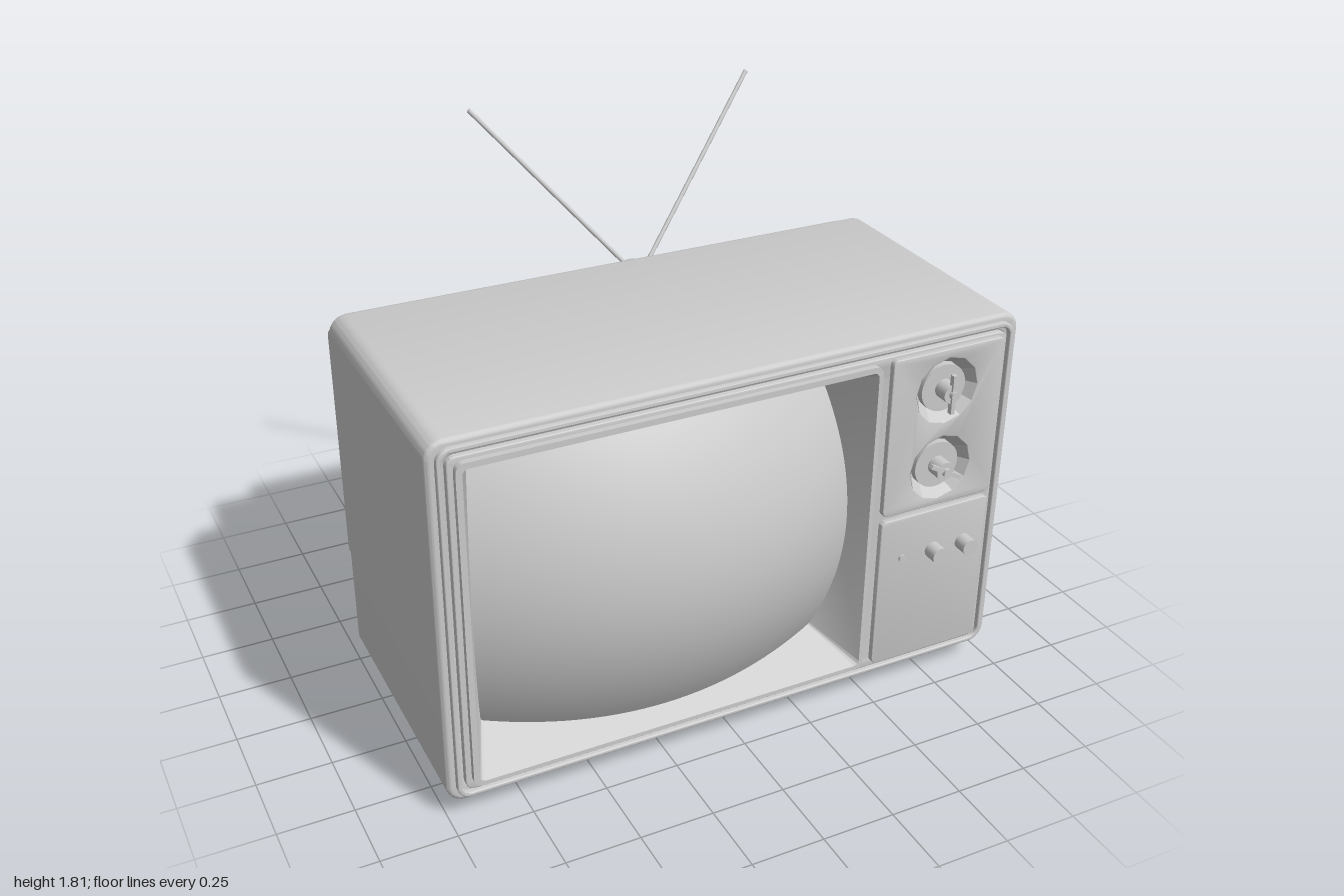
import * as THREE from 'three';
import { toCreasedNormals } from 'three/addons/utils/BufferGeometryUtils.js';

const material = new THREE.MeshStandardMaterial({ color: 0xcccccc });
const openMaterial = new THREE.MeshStandardMaterial({ color: 0xcccccc, side: THREE.DoubleSide });

// Rounded rectangle from its edges
function roundRect(x0, x1, y0, y1, r, Type = THREE.Shape) {
  const s = new Type();
  s.moveTo(x0 + r, y0);
  s.lineTo(x1 - r, y0);
  s.absarc(x1 - r, y0 + r, r, -Math.PI / 2, 0);
  s.lineTo(x1, y1 - r);
  s.absarc(x1 - r, y1 - r, r, 0, Math.PI / 2);
  s.lineTo(x0 + r, y1);
  s.absarc(x0 + r, y1 - r, r, Math.PI / 2, Math.PI);
  s.lineTo(x0, y0 + r);
  s.absarc(x0 + r, y0 + r, r, Math.PI, Math.PI * 1.5);
  return s;
}
const rectHole = (...a) => roundRect(...a, THREE.Path);

// Regular polygon hole matching a lathe with the same number of sides
function polygonHole(cx, cy, r, sides) {
  const pts = [];
  for (let i = 0; i < sides; i++) {
    const a = (i / sides) * Math.PI * 2;
    pts.push(new THREE.Vector2(cx + r * Math.sin(a), cy + r * Math.cos(a)));
  }
  return new THREE.Path(pts);
}

// Extrude from z0 to z1, with a bevel kept inside the outline
function slab(shape, z0, z1, bevel = 0, holes = []) {
  shape.holes.push(...holes);
  const g = new THREE.ExtrudeGeometry(shape, {
    depth: z1 - z0 - 2 * bevel, curveSegments: 6, bevelEnabled: bevel > 0,
    bevelSize: bevel, bevelThickness: bevel, bevelOffset: -bevel, bevelSegments: 3,
  });
  g.translate(0, 0, z0 + bevel);
  return toCreasedNormals(g, 0.6);
}

// Lower the top of a geometry towards the back
function slopeTop(g, bottom, top, zFront, zBack, drop) {
  const p = g.attributes.position;
  for (let i = 0; i < p.count; i++) {
    const t = (zFront - p.getZ(i)) / (zFront - zBack);
    const h = (p.getY(i) - bottom) / (top - bottom);
    p.setY(i, p.getY(i) - drop * t * h);
  }
  return toCreasedNormals(g, 0.6);
}

// Wall between two outlines at different depths
function loft(shapeA, zA, shapeB, zB) {
  const a = shapeA.getPoints(6), b = shapeB.getPoints(6), pos = [];
  for (let i = 0; i < a.length; i++) {
    const j = (i + 1) % a.length;
    const A = [a[i].x, a[i].y, zA], B = [a[j].x, a[j].y, zA];
    const C = [b[j].x, b[j].y, zB], D = [b[i].x, b[i].y, zB];
    pos.push(...A, ...C, ...B, ...A, ...D, ...C);
  }
  const g = new THREE.BufferGeometry();
  g.setAttribute('position', new THREE.Float32BufferAttribute(pos, 3));
  return toCreasedNormals(g, 0.6);
}

export function createModel() {
  const model = new THREE.Group();
  const add = (name, geometry, parent = model, mat = material) => {
    const m = new THREE.Mesh(geometry, mat);
    m.name = name;
    parent.add(m);
    return m;
  };

  // Cabinet shell, front lip and face plate
  add('cabinet', slab(roundRect(-1, 1, 0.06, 1.335, 0.06), -0.25, 0.672, 0.015,
    [rectHole(-0.94, 0.94, 0.12, 1.275, 0.03)]));
  add('frontLip', slab(roundRect(-0.972, 0.972, 0.082, 1.312, 0.045), 0.65, 0.69, 0.004,
    [rectHole(-0.957, 0.957, 0.097, 1.297, 0.035)]));
  const knobX = 0.715, dialHeights = [1.13, 0.85];
  const dialHoles = () => dialHeights.map((y) => polygonHole(knobX, y, 0.115, 12));
  add('facePlate', slab(roundRect(-0.944, 0.944, 0.11, 1.284, 0.03), 0.65, 0.69, 0.003,
    [rectHole(-0.905, 0.455, 0.145, 1.25, 0.02), ...dialHoles()]));

  // Screen surround with its sloping inner walls
  add('screenBezel', slab(roundRect(-0.925, 0.47, 0.13, 1.27, 0.03), 0.68, 0.71, 0,
    [rectHole(-0.905, 0.455, 0.145, 1.25, 0.02)]));
  add('screenSurround', loft(roundRect(-0.905, 0.455, 0.145, 1.25, 0.02), 0.71,
    roundRect(-0.82, 0.345, 0.245, 1.155, 0.01), 0.5), model, openMaterial);

  // Bulging screen whose corners sit deepest
  const screen = new THREE.PlaneGeometry(2, 2, 28, 28);
  const sp = screen.attributes.position;
  for (let i = 0; i < sp.count; i++) {
    const u = sp.getX(i), v = sp.getY(i);
    const x = u * (0.602 + 0.05 * (1 - v * v));
    const y = v * (0.477 + 0.055 * (1 - u * u));
    sp.setXYZ(i, x - 0.235, y + 0.7, 0.812 - 0.41 * x * x - 0.61 * y * y);
  }
  screen.computeVertexNormals();
  add('screen', screen);

  // Control panels
  add('upperPanel', slab(roundRect(0.507, 0.925, 0.71, 1.275, 0.02), 0.68, 0.71, 0.003, dialHoles()));
  add('lowerPanel', slab(roundRect(0.507, 0.925, 0.13, 0.69, 0.02), 0.68, 0.71, 0.003));

  // Channel dials: faceted dish, round base, stem and grip bar
  dialHeights.forEach((y, i) => {
    const dial = new THREE.Group();
    dial.name = i ? 'lowerDial' : 'upperDial';
    dial.position.set(knobX, y, 0);
    const dish = new THREE.LatheGeometry([[0.115, 0.71], [0.085, 0.665], [0, 0.665]]
      .map((p) => new THREE.Vector2(...p)), 12).rotateX(Math.PI / 2);
    add('dialDish', toCreasedNormals(dish, 0.2), dial, openMaterial);
    const disc = (name, r, z0, z1) => add(name,
      new THREE.CylinderGeometry(r, r, z1 - z0, 28).rotateX(Math.PI / 2).translate(0, 0, (z0 + z1) / 2), dial);
    disc('dialBase', 0.082, 0.66, 0.69);
    disc('dialStem', 0.032, 0.68, 0.742);
    const bar = add('dialGrip', new THREE.BoxGeometry(0.014, 0.135, 0.018), dial);
    bar.position.z = 0.74;
    bar.rotation.z = i ? 1.05 : 0;
    disc('dialCap', 0.014, 0.74, 0.757);
    model.add(dial);
  });

  // Push knobs and indicator
  [[0.595, 0.013, 0.718], [0.715, 0.029, 0.76], [0.835, 0.029, 0.76]].forEach(([x, r, z], i) => {
    const knob = add(i ? 'smallKnob' : 'indicator',
      new THREE.CylinderGeometry(r, r, z - 0.7, 20).rotateX(Math.PI / 2));
    knob.position.set(x, 0.535, (z + 0.7) / 2);
  });

  // Back cover, stepped inwards
  add('backSeam', slab(roundRect(-0.967, 0.967, 0.085, 1.31, 0.045), -0.262, -0.22));
  add('backCover', slab(roundRect(-0.957, 0.957, 0.095, 1.3, 0.04), -0.318, -0.24, 0.003));
  add('rearHousing', slopeTop(slab(roundRect(-0.898, 0.888, 0.17, 1.207, 0.025), -0.68, -0.29, 0.012),
    0.17, 1.207, -0.31, -0.68, 0.12));
  add('tubeCover', slopeTop(slab(roundRect(-0.755, -0.14, 0.405, 1.045, 0.012), -0.812, -0.66, 0.005),
    0.405, 1.045, -0.68, -0.812, 0.035));

  // Tapered base
  const foot = new THREE.Shape([[-0.82, 0], [0.82, 0], [0.885, 0.065], [-0.885, 0.065]]
    .map((p) => new THREE.Vector2(...p)));
  add('base', slab(foot, -0.125, 0.56));

  // Pair of aerial rods in tilted sockets
  const up = new THREE.Vector3(0, 1, 0);
  [[[0.2, 1.16, -0.528], [-0.318, 1.77, -0.737]], [[0.2, 1.19, -0.437], [0.714, 1.8, -0.643]]].forEach(([a, b]) => {
    const from = new THREE.Vector3(...a), to = new THREE.Vector3(...b);
    const aerial = new THREE.Group();
    aerial.name = 'aerial';
    const socket = add('aerialSocket', new THREE.CylinderGeometry(0.022, 0.022, 0.075, 16), aerial);
    socket.position.copy(from);
    socket.rotation.x = -0.31;
    const dir = to.clone().sub(from);
    const rod = add('aerialRod', new THREE.CylinderGeometry(0.008, 0.008, dir.length(), 10), aerial);
    rod.position.copy(from).add(to).multiplyScalar(0.5);
    rod.quaternion.setFromUnitVectors(up, dir.normalize());
    model.add(aerial);
  });

  return model;
}
